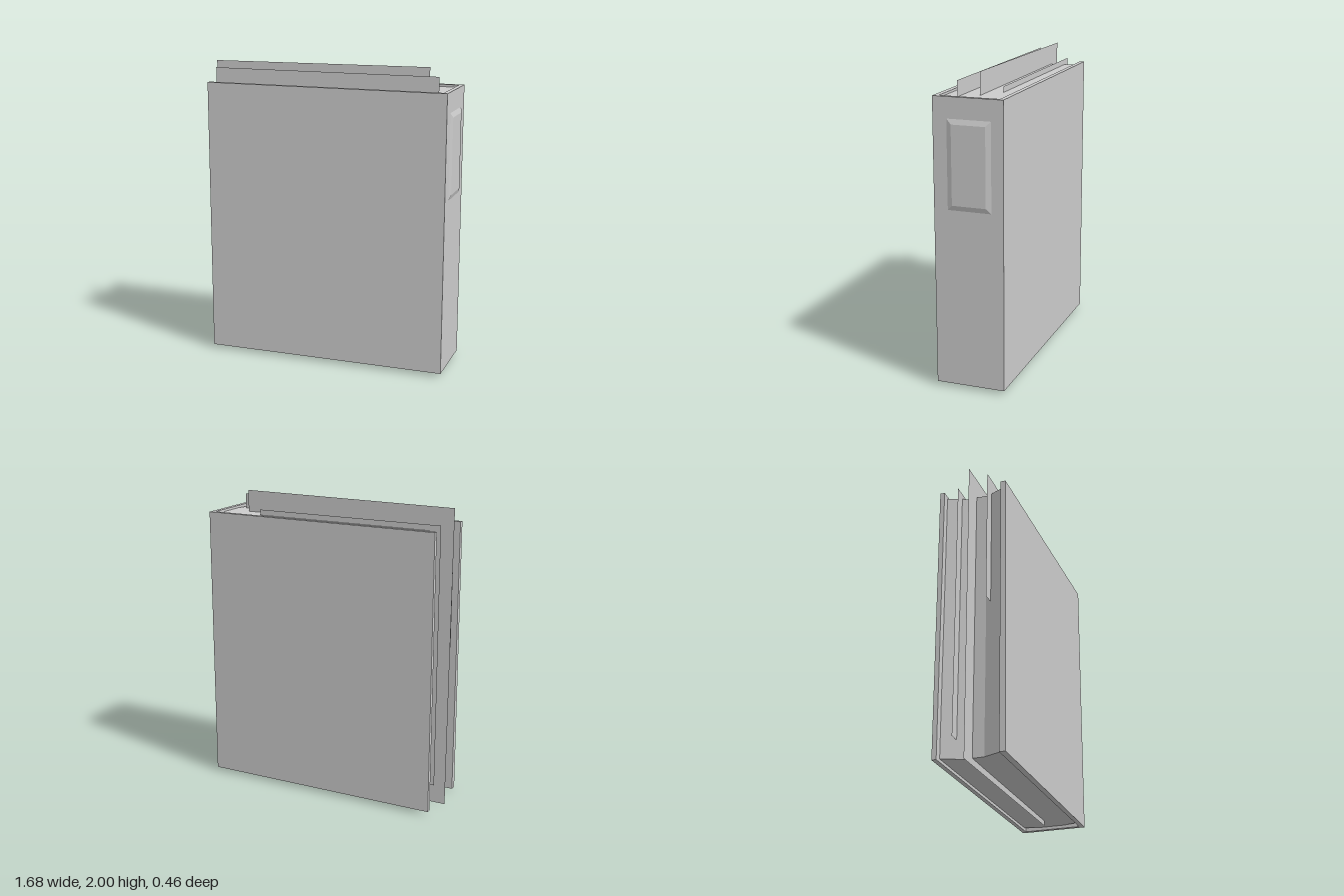
import * as THREE from 'three';

export function createModel() {
  const group = new THREE.Group();
  const grey = new THREE.MeshStandardMaterial({ color: 0xcccccc, side: THREE.DoubleSide });
  grey.name = 'grey';

  const add = (name, geometry) => {
    const mesh = new THREE.Mesh(geometry, grey);
    mesh.name = name;
    group.add(mesh);
    return mesh;
  };

  // Box from its minimum and maximum corners
  const box = (x0, x1, y0, y1, z0, z1) =>
    new THREE.BoxGeometry(x1 - x0, y1 - y0, z1 - z0)
      .translate((x0 + x1) / 2, (y0 + y1) / 2, (z0 + z1) / 2);

  // Move each vertex by a rule and refresh the normals
  const reshape = (geometry, rule) => {
    const p = geometry.attributes.position;
    const v = new THREE.Vector3();
    for (let i = 0; i < p.count; i++) {
      rule(v.fromBufferAttribute(p, i));
      p.setXYZ(i, v.x, v.y, v.z);
    }
    geometry.computeVertexNormals();
    return geometry;
  };

  const polygon = (points) => new THREE.Shape(points.map(([x, y]) => new THREE.Vector2(x, y)));

  // Hard cover: the front board's lower free corner is slightly lifted
  add('backCover', box(-0.8, 0.83, 0.03, 1.87, -0.23, -0.2));
  add('frontCover', reshape(box(-0.8, 0.83, 0.03, 1.87, 0.19, 0.222), (v) => {
    if (v.x < 0 && v.y < 1 && v.z > 0.2) v.z = 0.23;
  }));
  add('spine', box(0.8, 0.83, 0.03, 1.87, -0.2, 0.19));

  // Page block: hollow fore edge, rounded back (drawn in x and -z)
  const pages = new THREE.ExtrudeGeometry(polygon([
    [-0.75, -0.19], [0.77, -0.19], [0.797, -0.08], [0.797, 0.08], [0.77, 0.2],
    [-0.75, 0.2], [-0.697, 0.07], [-0.697, -0.06],
  ]), { depth: 1.805, bevelEnabled: false });
  pages.rotateX(-Math.PI / 2).translate(0, 0.05, 0);
  add('pageBlock', pages);

  // Loose sheets sticking out of the pages
  const sheets = [
    ['tallSheet', -0.015, [[-0.83, 0.005], [0.66, 0.015], [0.655, 2], [-0.84, 1.99]]],
    ['halfSheet', 0.095, [[-0.795, 1.06], [0.745, 1.06], [0.745, 1.955], [-0.795, 1.955]]],
    ['shortSheet', -0.11, [[-0.79, 0.17], [0.506, 0.17], [0.506, 1.892], [-0.79, 1.892]]],
  ];
  for (const [name, z, corners] of sheets) {
    add(name, new THREE.ShapeGeometry(polygon(corners))).position.z = z;
  }

  // Raised label plate on the spine with sloping borders
  add('spineLabel', reshape(box(0.829, 0.841, 1.17, 1.74, -0.155, 0.135), (v) => {
    if (v.x > 0.835) {
      v.y += v.y > 1.45 ? -0.035 : 0.035;
      v.z += v.z > 0 ? -0.035 : 0.035;
    }
  }));

  return group;
}
